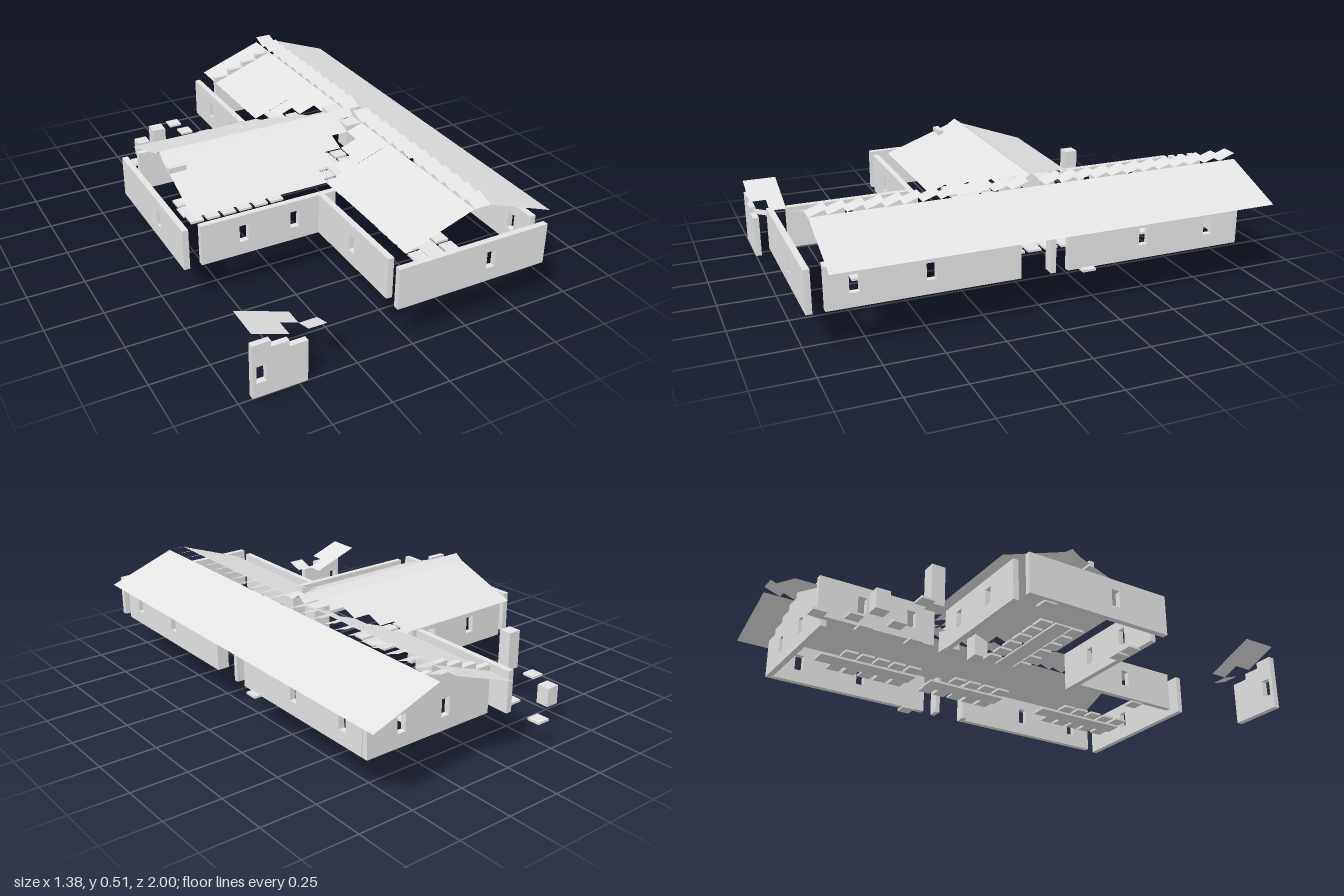
import * as THREE from 'three';

const C = 0.0768;          // grid cell
const Y0 = 0.19, Y1 = 0.372, RIDGE = 0.483, CAP = 0.51; // wall foot, eaves, slope top, cap top
const T = 0.026;           // wall thickness
const STEP = 0.0275;       // height of one brick course

export function createModel() {
  const group = new THREE.Group();
  const stone = new THREE.MeshStandardMaterial({ color: 0xe4e4e4, side: THREE.DoubleSide });
  stone.name = 'pale grey';

  function add(name, geo) {
    const m = new THREE.Mesh(geo, stone);
    m.name = name;
    group.add(m);
    return m;
  }
  function box(name, x0, x1, y0, y1, z0, z1) {
    add(name, new THREE.BoxGeometry(x1 - x0, y1 - y0, z1 - z0))
      .position.set((x0 + x1) / 2, (y0 + y1) / 2, (z0 + z1) / 2);
  }
  // thin slab centred on a point, bottom at y
  function slab(name, x, y, z, w = 0.06) {
    box(name, x - w / 2, x + w / 2, y, y + 0.01, z - w / 2, z + w / 2);
  }
  function quad(name, a, b, c, d) {
    const g = new THREE.BufferGeometry();
    g.setAttribute('position', new THREE.Float32BufferAttribute([a, b, c, a, c, d].flat(), 3));
    g.computeVertexNormals();
    add(name, g);
  }
  // wall from an outline, with window holes centred on the given positions
  function wallGeo(pts, windows, sill) {
    const s = new THREE.Shape(pts.map(p => new THREE.Vector2(p[0], p[1])));
    for (const w of windows) {
      const h = new THREE.Path();
      h.moveTo(w - 0.02, sill); h.lineTo(w - 0.02, sill + 0.075);
      h.lineTo(w + 0.02, sill + 0.075); h.lineTo(w + 0.02, sill);
      h.closePath();
      s.holes.push(h);
    }
    return new THREE.ExtrudeGeometry(s, { depth: T, bevelEnabled: false });
  }
  const rect = (a, b) => [[a, Y0], [b, Y0], [b, Y1], [a, Y1]];
  // wall running along x, back face at z
  function wallX(name, pts, z, windows, sill = 0.25) {
    add(name, wallGeo(pts, windows, sill)).position.z = z;
  }
  // wall running along z, low-x face at x
  function wallZ(name, z0, z1, x, windows) {
    const m = add(name, wallGeo(rect(-z1, -z0), windows.map(w => -w), 0.25));
    m.rotation.y = Math.PI / 2;
    m.position.x = x;
  }

  // ---- Hall walls
  wallX('hallFrontWall', rect(-0.08, 0.613), 0.974, [0.345]);
  const gable = [[0, Y0], [0.613, Y0], [0.613, Y1]];
  for (let i = 0; i < 4; i++) {                       // stepped right side
    const x = 0.537 - i * C, y = Y1 + i * STEP;
    gable.push([x, y], [x, y + STEP]);
  }
  for (let i = 3; i >= 0; i--) {                      // stepped left side
    const x = i * C, y = Y1 + i * STEP;
    gable.push([x, y + STEP]);
    if (i) gable.push([x, y]);
  }
  wallX('hallBackGable', gable, -0.875, [0.45, 0.23]);
  wallZ('hallRightWallFront', 0.155, 0.925, 0.587, [0.81, 0.505]);
  wallZ('hallRightWallBack', -0.845, -0.075, 0.587, [-0.42, -0.73]);
  wallZ('hallLeftWallFront', 0.38, 0.92, -0.08, [0.65]);
  wallZ('hallLeftWallBack', -0.925, -0.39, -0.08, [-0.5, -0.73]);
  box('entranceJamb', 0.56, 0.613, Y0, Y1, 0.13, 0.155);
  box('entranceJamb', 0.56, 0.613, Y0, Y1, -0.022, 0);

  // ---- Wing walls
  wallX('wingFrontWall', rect(-0.615, 0), 0.355, [-0.425, -0.193]);
  wallX('wingBackWall', rect(-0.615, -0.08), -0.335, [-0.425, -0.193]);
  wallZ('wingEndWall', -0.31, 0.38, -0.692, [0.115]);

  // ---- Hall roof
  const hallY = x => Y1 + (x / 0.305) * (RIDGE - Y1);
  quad('hallRoofRight', [0.382, RIDGE, 0.92], [0.69, Y1, 0.92], [0.69, Y1, -1], [0.382, RIDGE, -1]);
  const hallSlope = (x0, z0, z1) => quad('hallRoofLeft',
    [x0, hallY(x0), z1], [0.305, RIDGE, z1], [0.305, RIDGE, z0], [x0, hallY(x0), z0]);
  hallSlope(0, -1, -0.386);
  hallSlope(0, 0.306, 0.92);
  // ridge tiles, each tilted; one is missing at the crossing
  for (let i = 0; i < 25; i++) {
    const z = -1 + i * C;
    if (i !== 12) quad('ridgeTile', [0.305, RIDGE, z + C], [0.382, RIDGE, z + C], [0.382, CAP, z], [0.305, CAP, z]);
  }

  // ---- Wing roof
  const M = -0.04;                                    // wing ridge line
  const wingY = z => Y1 + (0.345 - Math.abs(z - M)) / 0.307 * (RIDGE - Y1);
  const wingSlope = (x1, z0, z1) => quad('wingRoof',
    [-0.615, wingY(z1), z1], [x1, wingY(z1), z1], [x1, wingY(z0), z0], [-0.615, wingY(z0), z0]);
  // stepped valley where the two roofs meet, mirrored about the wing ridge
  for (let i = 0; i < 4; i++) {
    const out = 0.345 - i * C, inn = out - C;
    for (const [z0, z1] of [[M - out, M - inn], [M + inn, M + out]]) {
      wingSlope(i * C, z0, z1);
      if (i < 3) hallSlope((i + 1) * C, z0, z1);
    }
  }
  for (const s of [-1, 1]) {                          // ridge cap, two steep strips
    const z = M + s * 0.038;
    quad('wingRidgeCap', [-0.615, RIDGE, z], [0.305, RIDGE, z], [0.305, CAP, M], [-0.615, CAP, M]);
  }
  box('wingGableBrick', -0.615, -0.538, 0.455, 0.481, 0.045, 0.07);
  // stacked bricks at the crossing
  for (const z of [-0.155, 0.0]) for (let i = 0; i < 4; i++)
    box('crossingBrick', 0.23, 0.305, Y1 + i * STEP, Y1 + (i + 1) * STEP, z, z + 0.07);

  // ---- Floor: a solid middle strip flanked by separate tiles
  for (const [z0, z1] of [[0.385, 0.845], [-0.23, 0.155], [-0.77, -0.31]]) {
    box('hallFloorStrip', 0.23, 0.307, 0.18, Y0, z0, z1);
    for (const x of [0.19, 0.3435])
      for (let z = z1 - C / 2; z > Math.max(z0, z1 - 4.9 * C); z -= C)
        if (x > 0.3 || Math.abs(z + 0.192) > 0.02) slab('hallFloorTile', x, 0.185, z);
  }
  box('wingFloorStrip', -0.538, -0.077, 0.183, Y0, M - C / 2, M + C / 2);
  for (const s of [-1, 1]) for (let i = 0; i < 6; i++)
    slab('wingFloorTile', -0.5 + i * C, 0.185, M + s * C);
  for (const [x, z] of [[-0.5, 0.335], [-0.425, 0.335], [-0.035, 0.73], [-0.645, -0.197], [0.61, -0.16]])
    slab('doorstep', x, 0.183, z);

  // ---- Yard: scattered slabs and two posts
  for (const [x, y, z] of [[-0.195, 0.132, -0.968], [-0.195, 0.158, -0.813], [-0.115, 0.158, -0.735],
    [-0.27, 0.132, -0.66], [-0.5, 0.132, -0.66], [-0.115, 0.158, -0.505]]) slab('yardSlab', x, y, z);
  box('tallPost', -0.455, -0.395, 0.165, 0.34, -0.61, -0.55);
  box('shortPost', -0.455, -0.395, 0.08, 0.165, -0.843, -0.783);

  // ---- Detached gatehouse corner
  wallX('gateWall', [[-0.692, 0], [-0.463, 0], [-0.463, 0.187], [-0.54, 0.187], [-0.54, 0.213],
    [-0.615, 0.213], [-0.615, 0.24], [-0.692, 0.24]], 0.974, [-0.655], 0.065);
  const gateY = x => 0.296 - (x + 0.692) * 0.36;
  const gateRoof = (x1, z0, z1) => quad('gateRoof',
    [-0.692, gateY(-0.692), z1], [x1, gateY(x1), z1], [x1, gateY(x1), z0], [-0.692, gateY(-0.692), z0]);
  gateRoof(-0.463, 0.846, 0.923);
  gateRoof(-0.54, 0.923, 1);
  quad('gateRoofTile', [-0.463, 0.238, 1], [-0.386, 0.238, 1], [-0.386, 0.213, 0.923], [-0.463, 0.213, 0.923]);

  return group;
}
